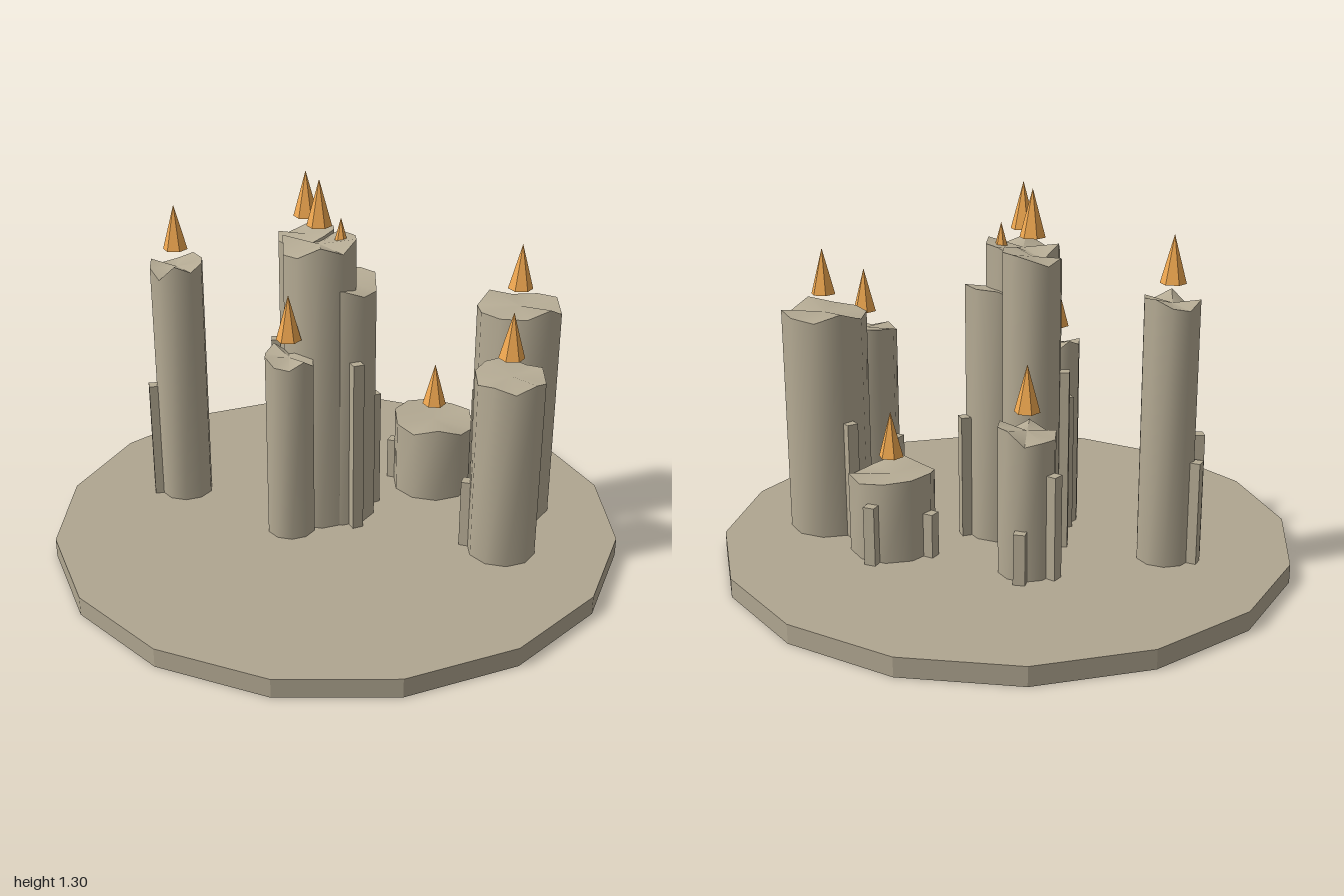
import * as THREE from 'three';
import { toCreasedNormals } from 'three/addons/utils/BufferGeometryUtils.js';

const BASE = 0.065;
const SIDES = 10;

const stone = new THREE.MeshStandardMaterial({ color: 0xb0a690 });
const wax = new THREE.MeshStandardMaterial({ color: 0xb5ab94 });
const fire = new THREE.MeshStandardMaterial({ color: 0xf0a850, flatShading: true });
const stoneFlat = stone.clone();
stoneFlat.flatShading = true;

// x, z, radius, mean top height, drips as [dx, dz, top height]
const candles = [
  { x: -0.565, z: 0.16, r: 0.094, top: 0.945, drips: [[-0.09, 0.025, 0.42], [-0.07, 0.07, 0.5]] },
  { x: -0.29, z: -0.23, r: 0.097, top: 0.55, drips: [[-0.1, 0.01, 0.42], [-0.045, -0.08, 0.24]] },
  { x: -0.163, z: -0.06, r: 0.1, top: 1.075, drips: [[-0.085, 0.06, 0.69]] },
  { x: -0.05, z: 0.025, r: 0.128, top: 1.08, drips: [] },
  { x: 0, z: -0.03, r: 0.125, top: 0.945, drips: [[0.11, 0.07, 0.69], [0.06, -0.11, 0.5]] },
  { x: -0.07, z: 0.18, r: 0.085, top: 0.72, drips: [[-0.07, -0.035, 0.55]] },
  { x: 0.178, z: -0.39, r: 0.147, top: 0.33, drips: [[-0.15, 0.03, 0.22], [-0.05, -0.14, 0.27]] },
  { x: 0.498, z: -0.39, r: 0.146, top: 0.845, drips: [[-0.145, -0.03, 0.48], [0.12, 0.1, 0.32]] },
  { x: 0.615, z: -0.1, r: 0.117, top: 0.715, drips: [[-0.11, 0.03, 0.31]] },
];

function seeded(seed) {
  let s = seed;
  return () => {
    s = (s * 16807) % 2147483647;
    return s / 2147483647;
  };
}

function addMesh(parent, name, geometry, material, x, y, z) {
  const mesh = new THREE.Mesh(geometry, material);
  mesh.name = name;
  mesh.position.set(x, y, z);
  parent.add(mesh);
  return mesh;
}

// Cylinder whose upper rim is unevenly melted
function meltedBody(r, height, random) {
  const geo = new THREE.CylinderGeometry(r, r, height, SIDES);
  geo.translate(0, height / 2, 0);
  const rim = Array.from({ length: SIDES }, () => (random() - 0.5) * 0.055);
  const p = geo.attributes.position;
  for (let i = 0; i < p.count; i++) {
    const x = p.getX(i), z = p.getZ(i);
    if (p.getY(i) < height / 2 || Math.hypot(x, z) < r / 2) continue;
    const k = Math.round(Math.atan2(x, z) / (2 * Math.PI / SIDES) + SIDES) % SIDES;
    p.setY(i, height + rim[k]);
  }
  return toCreasedNormals(geo, 0.7);
}

export function createModel() {
  const model = new THREE.Group();
  model.name = 'candleCluster';

  // Sixteen-sided plate
  const plate = new THREE.CylinderGeometry(1, 1, BASE, 16);
  addMesh(model, 'basePlate', plate, stoneFlat, 0, BASE / 2, 0);

  candles.forEach(({ x, z, r, top, drips }, i) => {
    const candle = new THREE.Group();
    candle.name = `candle${i + 1}`;
    candle.position.set(x, BASE, z);
    model.add(candle);

    addMesh(candle, 'waxBody', meltedBody(r, top - BASE, seeded(1201 + i * 7919)), wax, 0, 0, 0);

    // Floating flame above the wick
    addMesh(candle, 'flame', new THREE.ConeGeometry(0.043, 0.158, 6), fire, 0, top - BASE + 0.142, 0);

    // Wax runs, turned to face outward
    for (const [dx, dz, dripTop] of drips) {
      const angle = Math.atan2(dx, dz);
      const h = dripTop - BASE;
      const d = r + 0.005;
      const run = addMesh(candle, 'waxDrip', new THREE.BoxGeometry(0.04, h, 0.044), wax,
        Math.sin(angle) * d, h / 2, Math.cos(angle) * d);
      run.rotation.y = angle;
    }
  });

  return model;
}
